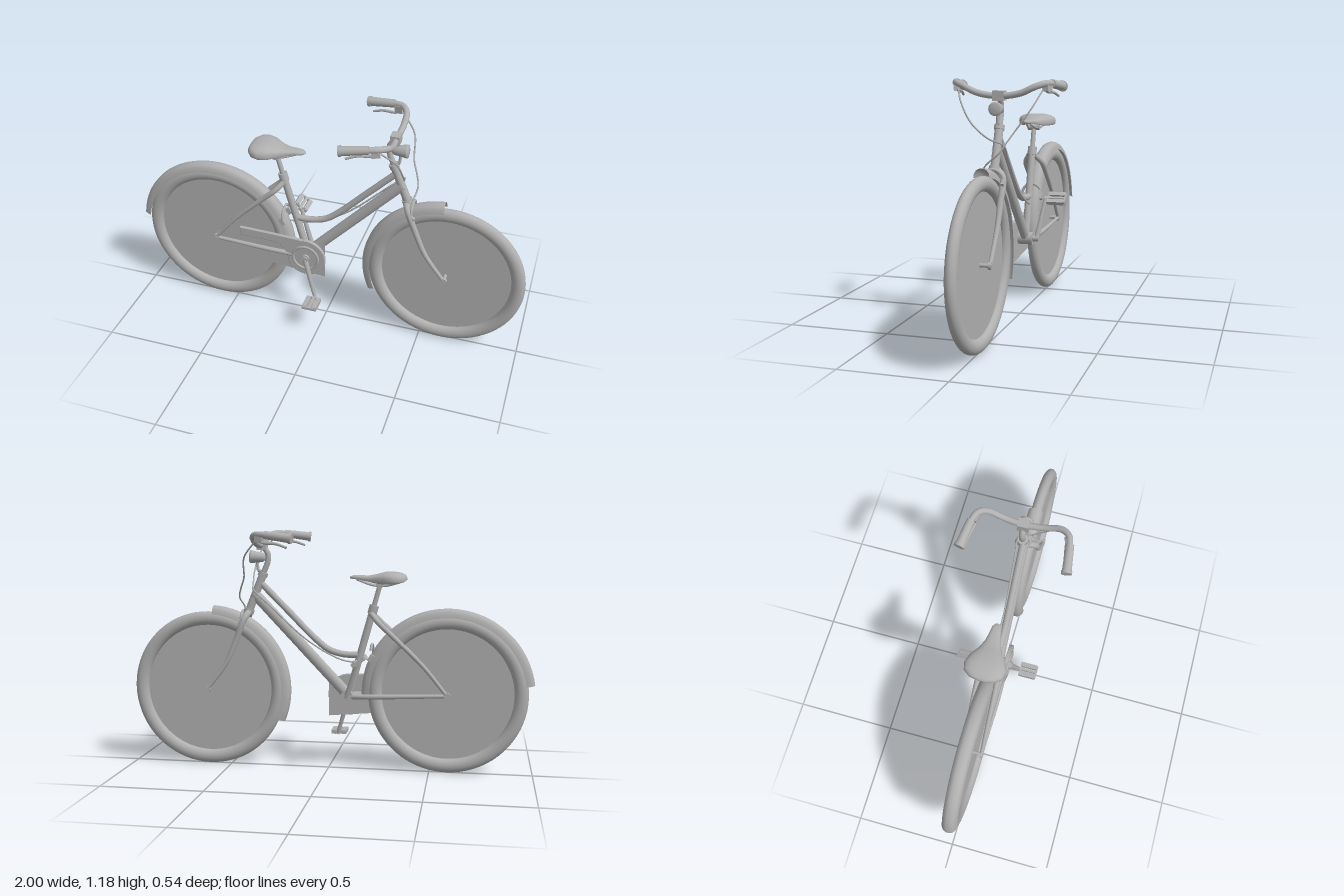
import * as THREE from 'three';

export function createModel() {
  const root = new THREE.Group();
  root.name = 'bicycle';
  const grey = new THREE.MeshStandardMaterial({ color: 0xb0b0b0, side: THREE.DoubleSide });
  grey.name = 'plain grey';

  const add = (name, geo, pos = [0, 0, 0], rot = [0, 0, 0]) => {
    const m = new THREE.Mesh(geo, grey);
    m.name = name;
    m.position.set(...pos);
    m.rotation.set(...rot);
    root.add(m);
    return m;
  };
  // Smooth tube through points, tapering from r0 to r1
  const tube = (name, pts, r0, r1 = r0, sides = 14, segs = 32) => {
    const curve = new THREE.CatmullRomCurve3(pts.map(p => new THREE.Vector3(...p)));
    const geo = new THREE.TubeGeometry(curve, segs, 1, sides);
    const p = geo.attributes.position, v = new THREE.Vector3();
    for (let i = 0; i < p.count; i++) {
      const t = Math.floor(i / (sides + 1)) / segs;
      const c = curve.getPointAt(t);
      v.fromBufferAttribute(p, i).sub(c).multiplyScalar(r0 + (r1 - r0) * t).add(c);
      p.setXYZ(i, v.x, v.y, v.z);
    }
    return add(name, geo);
  };
  // Closed straight rod between two points
  const rod = (name, a, b, r0, r1 = r0, sides = 20) => {
    const A = new THREE.Vector3(...a), B = new THREE.Vector3(...b);
    const m = add(name, new THREE.CylinderGeometry(r1, r0, A.distanceTo(B), sides));
    m.position.copy(A).add(B).multiplyScalar(0.5);
    m.quaternion.setFromUnitVectors(new THREE.Vector3(0, 1, 0), B.sub(A).normalize());
    return m;
  };
  const deg = d => d * Math.PI / 180;
  const rear = [-0.585, 0.395, 0], front = [0.61, 0.395, 0], bb = [-0.096, 0.375, 0];

  // Wheels: tyre, spoke disc, axle with nuts
  for (const [side, c] of [['rear', rear], ['front', front]]) {
    add(side + 'Tyre', new THREE.TorusGeometry(0.354, 0.034, 20, 72), c).scale.z = 0.8;
    add(side + 'SpokeDisc', new THREE.CircleGeometry(0.335, 64), c);
    rod(side + 'Axle', [c[0], c[1], -0.056], [c[0], c[1], 0.056], 0.009);
    for (const s of [-1, 1])
      rod(side + 'AxleNut', [c[0], c[1], s * 0.04], [c[0], c[1], s * 0.054], 0.017);
  }

  // Mudguards: curved profile swept around each wheel
  const fender = (name, c, from, to) => {
    const profile = [[0.377, -0.037], [0.398, -0.034], [0.412, -0.024], [0.419, -0.01],
      [0.419, 0.01], [0.412, 0.024], [0.398, 0.034], [0.377, 0.037]]
      .map(p => new THREE.Vector2(...p));
    const geo = new THREE.LatheGeometry(profile, 48, deg(from), deg(to - from));
    add(name, geo.rotateX(-Math.PI / 2), c);
  };
  fender('rearMudguard', rear, -82, 92);
  fender('frontMudguard', front, -112, -4);

  // Frame
  rod('downTube', [-0.096, 0.38, 0], [0.372, 0.875, 0], 0.027).scale.z = 0.8;
  tube('topTube', [[0.35, 0.94, 0], [0.2, 0.79, 0], [0.07, 0.66, 0], [0.0, 0.605, 0],
    [-0.07, 0.583, 0], [-0.16, 0.58, 0]], 0.016);
  rod('seatTube', [-0.1, 0.375, 0], [-0.222, 0.815, 0], 0.018);
  rod('seatClamp', [-0.214, 0.785, 0], [-0.225, 0.825, 0], 0.023);
  rod('seatPost', [-0.22, 0.81, 0], [-0.255, 0.935, 0], 0.012);
  rod('headTube', [0.4, 0.79, 0], [0.328, 0.97, 0], 0.02);
  rod('lowerHeadCup', [0.404, 0.78, 0], [0.396, 0.8, 0], 0.026);
  rod('upperHeadCup', [0.332, 0.96, 0], [0.324, 0.98, 0], 0.024);
  rod('bottomBracket', [bb[0], bb[1], -0.04], [bb[0], bb[1], 0.04], 0.032);
  for (const s of [-1, 1]) {
    tube('seatStay', [[-0.212, 0.785, s * 0.014], [-0.25, 0.745, s * 0.042], [-0.32, 0.68, s * 0.047],
      [-0.47, 0.535, s * 0.047], [-0.585, 0.395, s * 0.046]], 0.014, 0.009);
    tube('chainStay', [[-0.1, 0.375, s * 0.024], [-0.2, 0.38, s * 0.043], [-0.585, 0.395, s * 0.046]], 0.014, 0.009);
    tube('forkLeg', [[0.398, 0.785, s * 0.012], [0.415, 0.755, s * 0.042], [0.46, 0.64, s * 0.045],
      [0.51, 0.53, s * 0.045], [0.61, 0.395, s * 0.046]], 0.017, 0.009);
  }

  // Stem, clamp and headlamp
  tube('stem', [[0.328, 0.97, 0], [0.303, 1.035, 0], [0.302, 1.07, 0], [0.328, 1.112, 0]], 0.014);
  add('barClamp', new THREE.BoxGeometry(0.045, 0.045, 0.054), [0.33, 1.113, 0]);
  const lampProfile = [[0, -0.045], [0.014, -0.042], [0.023, -0.03], [0.027, 0], [0.032, 0.024], [0.032, 0.032],
    [0.02, 0.036], [0, 0.037]].map(p => new THREE.Vector2(...p));
  add('headlamp', new THREE.LatheGeometry(lampProfile, 28), [0.358, 1.055, 0], [0, 0, deg(-87)]);
  rod('lampBracket', [0.352, 0.99, 0], [0.358, 1.05, 0], 0.007);
  rod('lampBracketFoot', [0.32, 0.985, 0], [0.355, 0.99, 0], 0.007);

  // Handlebar, grips and brake levers
  const half = [[0.335, 1.115, 0.05], [0.338, 1.128, 0.11], [0.335, 1.155, 0.17],
    [0.31, 1.168, 0.21], [0.25, 1.166, 0.23], [0.145, 1.152, 0.244]];
  const mirrored = half.map(([x, y, z]) => [x, y, -z]).reverse();
  tube('handlebar', [...mirrored, [0.333, 1.113, 0], ...half], 0.015, 0.015, 14, 90);
  for (const s of [-1, 1]) {
    rod('grip', [0.265, 1.167, s * 0.228], [0.14, 1.151, s * 0.245], 0.019, 0.022);
    rod('gripEnd', [0.145, 1.152, s * 0.244], [0.132, 1.15, s * 0.246], 0.025);
    add('leverMount', new THREE.BoxGeometry(0.04, 0.035, 0.03), [0.292, 1.15, s * 0.215], [0, s * 0.3, 0.1]);
    tube('brakeLever', [[0.305, 1.142, s * 0.21], [0.27, 1.13, s * 0.212], [0.21, 1.125, s * 0.222],
      [0.16, 1.108, s * 0.232]], 0.008, 0.006, 8);
  }

  // Cables
  tube('rearBrakeCable', [[0.315, 1.14, 0.2], [0.375, 1.08, 0.165], [0.395, 0.99, 0.11], [0.385, 0.92, 0.03],
    [0.37, 0.895, -0.03], [0.3, 0.83, -0.03], [0.08, 0.635, -0.022], [-0.1, 0.55, -0.02], [-0.19, 0.56, 0.01]], 0.004, 0.004, 6, 80);
  tube('frontBrakeCable', [[0.315, 1.14, -0.2], [0.38, 1.06, -0.165], [0.4, 0.96, -0.095], [0.425, 0.905, -0.06],
    [0.44, 0.86, -0.03], [0.43, 0.81, 0.03], [0.425, 0.78, 0.05]], 0.004, 0.004, 6, 60);

  // Brake calipers over both tyres
  for (const [name, x, y, tilt] of [['frontCaliper', 0.43, 0.74, 0.45], ['rearCaliper', -0.215, 0.585, 1.0]]) {
    add(name, new THREE.TorusGeometry(0.05, 0.007, 8, 24, Math.PI), [x, y, 0], [0, Math.PI / 2, tilt * 0.5]);
    for (const s of [-1, 1])
      add(name + 'Shoe', new THREE.BoxGeometry(0.035, 0.022, 0.014), [x, y - 0.012, s * 0.05], [0, 0, -tilt]);
  }

  // Chain guard and flat chain panel
  const g = new THREE.Shape();
  g.moveTo(-0.445, 0.485);
  g.lineTo(-0.25, 0.48);
  g.quadraticCurveTo(-0.16, 0.477, -0.113, 0.473);
  g.absarc(bb[0], bb[1], 0.1, deg(100), deg(-150), true);
  g.quadraticCurveTo(-0.195, 0.44, -0.27, 0.442);
  g.lineTo(-0.445, 0.445);
  add('chainGuard', new THREE.ExtrudeGeometry(g, { depth: 0.012, curveSegments: 32, bevelSize: 0.003,
    bevelThickness: 0.003, bevelSegments: 2 }), [0, 0, 0.036]);
  const panel = new THREE.Shape([[-0.51, 0.46], [-0.51, 0.31], [0.003, 0.265], [0.003, 0.467]]
    .map(p => new THREE.Vector2(...p)));
  add('chainPanel', new THREE.ShapeGeometry(panel), [0, 0, 0.033]);
  add('chainRing', new THREE.TorusGeometry(0.066, 0.007, 8, 40), [bb[0], bb[1], 0.051]);
  rod('chainRingHub', [bb[0], bb[1], 0.03], [bb[0], bb[1], 0.062], 0.022);

  // Cranks and pedals
  for (const [s, x, y, tilt] of [[1, -0.035, 0.165, 0], [-1, -0.162, 0.572, -0.6]]) {
    tube('crank', [[bb[0], bb[1], s * 0.058], [(bb[0] * 3 + x) / 4, (bb[1] * 3 + y) / 4, s * 0.066],
      [x, y, s * 0.087]], 0.014, 0.009, 10);
    rod('crankHub', [bb[0], bb[1], s * 0.035], [bb[0], bb[1], s * 0.07], 0.016);
    const pedal = new THREE.Group();
    pedal.name = 'pedal';
    const put = (name, size, px, pz) => {
      const m = add(name, new THREE.BoxGeometry(...size), [px, 0, s * pz]);
      pedal.add(m);
    };
    for (const e of [-1, 1]) put('pedalTread', [0.024, 0.02, 0.085], e * 0.026, 0.142);
    put('pedalSpindle', [0.014, 0.014, 0.11], 0, 0.135);
    put('pedalInnerPlate', [0.07, 0.014, 0.008], 0, 0.1);
    put('pedalOuterPlate', [0.07, 0.014, 0.008], 0, 0.186);
    pedal.position.set(x - (s < 0 ? 0.008 : 0), y, 0);
    pedal.rotation.z = tilt;
    root.add(pedal);
  }

  // Saddle: cross-sections [x, half width, top, bottom] with a hollowed underside
  const sections = [[-0.383, 0.02, 0.962, 0.945], [-0.374, 0.06, 0.976, 0.928], [-0.35, 0.09, 0.985, 0.916],
    [-0.315, 0.098, 0.99, 0.908], [-0.275, 0.084, 0.988, 0.907], [-0.235, 0.056, 0.977, 0.915],
    [-0.195, 0.036, 0.97, 0.93], [-0.15, 0.026, 0.971, 0.942], [-0.12, 0.021, 0.97, 0.946], [-0.105, 0.009, 0.964, 0.951]];
  const n = 28, pos = [], idx = [];
  sections.forEach(([x, w, top, bot], i) => {
    const mid = (top + bot) / 2, h = (top - bot) / 2;
    for (let j = 0; j < n; j++) {
      const a = j / n * Math.PI * 2, c = Math.cos(a), d = Math.sin(a);
      const soft = v => Math.sign(v) * Math.pow(Math.abs(v), 0.75);
      const y = mid + h * soft(d) + (d < 0 ? h * 0.9 * (1 - c * c) : 0);
      pos.push(x, y, w * soft(c));
      if (i > 0) {
        const k = (j + 1) % n, p = (i - 1) * n, q = i * n;
        idx.push(p + j, p + k, q + j, p + k, q + k, q + j);
      }
    }
  });
  for (let j = 1; j < n - 1; j++) {
    const e = (sections.length - 1) * n;
    idx.push(0, j + 1, j, e, e + j, e + j + 1);
  }
  const saddle = new THREE.BufferGeometry();
  saddle.setAttribute('position', new THREE.Float32BufferAttribute(pos, 3));
  saddle.setIndex(idx);
  saddle.computeVertexNormals();
  add('saddle', saddle);
  rod('saddleClamp', [-0.252, 0.925, -0.03], [-0.252, 0.925, 0.03], 0.016);
  for (const s of [-1, 1])
    tube('saddleRail', [[-0.35, 0.94, s * 0.045], [-0.28, 0.922, s * 0.025], [-0.22, 0.924, s * 0.02],
      [-0.14, 0.95, s * 0.008]], 0.005, 0.005, 8);

  return root;
}
